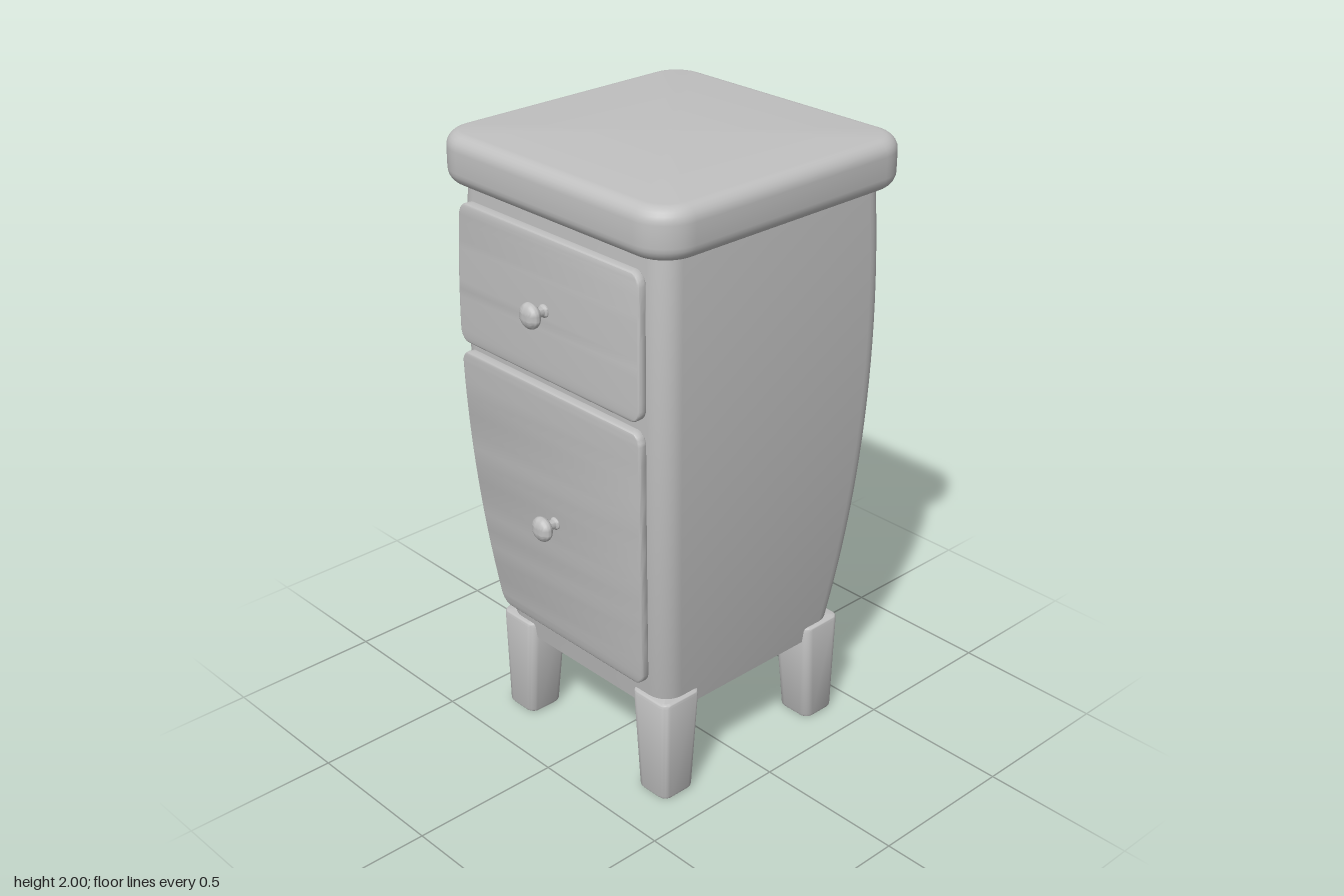
import * as THREE from 'three';
import { toCreasedNormals } from 'three/addons/utils/BufferGeometryUtils.js';

const CZ = -0.0355; // cabinet centre in z (knobs stick out in front)

// Half width of the bulging body at height y
const bulge = (y) => 0.454 - 0.068 * (y - 1.43) ** 2;

// Skins rounded-rectangle sections { y, x, z, hx, hz, r } stacked upwards, with end caps
function loft(sections, seg = 6) {
  const pos = [], idx = [], n = 4 * (seg + 1);
  for (const { y, x = 0, z = 0, hx, hz, r } of sections) {
    for (let q = 0; q < 4; q++) {
      const sx = q === 0 || q === 3 ? 1 : -1, sz = q < 2 ? 1 : -1;
      for (let k = 0; k <= seg; k++) {
        const a = (q + k / seg) * Math.PI / 2;
        pos.push(x + sx * (hx - r) + r * Math.cos(a), y, z + sz * (hz - r) + r * Math.sin(a));
      }
    }
  }
  const rows = sections.length, first = sections[0], last = sections[rows - 1];
  for (let j = 0; j < rows - 1; j++) {
    for (let i = 0; i < n; i++) {
      const a = j * n + i, b = j * n + (i + 1) % n;
      idx.push(a, a + n, b, a + n, b + n, b);
    }
  }
  pos.push(first.x || 0, first.y, first.z || 0, last.x || 0, last.y, last.z || 0);
  const c0 = rows * n, top = (rows - 1) * n;
  for (let i = 0; i < n; i++) {
    const k = (i + 1) % n;
    idx.push(c0, i, k, c0 + 1, top + k, top + i);
  }
  const g = new THREE.BufferGeometry();
  g.setAttribute('position', new THREE.Float32BufferAttribute(pos, 3));
  g.setIndex(idx);
  return toCreasedNormals(g, 0.6);
}

// Inset at distance t from an end rounded with radius r
const roundInset = (t, r) => (t >= r ? 0 : r - Math.sqrt(r * r - (r - t) ** 2));

// Heights from y0 to y1, dense in the rounded ends
function heights(y0, y1, r, mid) {
  const ends = [0, 1, 2, 3, 4, 5, 6].map((i) => r * (1 - Math.cos(i / 6 * Math.PI / 2)));
  const inner = [];
  for (let i = 1; i < mid; i++) inner.push(THREE.MathUtils.lerp(y0 + r, y1 - r, i / mid));
  return [...ends.map((t) => y0 + t), ...inner, ...ends.map((t) => y1 - t).reverse()];
}

export function createModel() {
  const group = new THREE.Group();
  const grey = new THREE.MeshStandardMaterial({ color: 0xc0c0c0 });
  grey.name = 'plain grey';
  const add = (name, geometry) => {
    const mesh = new THREE.Mesh(geometry, grey);
    mesh.name = name;
    group.add(mesh);
    return mesh;
  };

  // Bulging body
  const body = [];
  for (let i = 0; i <= 24; i++) {
    const y = 0.312 + (1.86 - 0.312) * i / 24, h = bulge(y);
    body.push({ y, z: CZ, hx: h, hz: h, r: 0.07 });
  }
  add('body', loft(body, 8));

  // Table top with a rounded edge
  add('tableTop', loft(heights(1.845, 2, 0.045, 2).map((y) => {
    const d = roundInset(Math.min(y - 1.845, 2 - y), 0.045);
    return { y, z: CZ, hx: 0.498 - d, hz: 0.498 - d, r: 0.12 - d };
  }), 10));

  // Tapered legs at the four corners
  for (const sx of [1, -1]) {
    for (const sz of [1, -1]) {
      const leg = heights(0.005, 0.365, 0.012, 1).map((y) => {
        const f = (y - 0.005) / 0.36;
        const d = roundInset(Math.min(y - 0.005, 0.365 - y), 0.012);
        const outer = 0.386 + 0.006 * f, inner = 0.257 - 0.023 * f;
        const c = (outer + inner) / 2, h = (outer - inner) / 2 - d;
        return { y, x: sx * c, z: CZ + sz * c, hx: h, hz: h, r: 0.03 - d };
      });
      add((sz > 0 ? 'front' : 'back') + (sx > 0 ? 'Left' : 'Right') + 'Leg', loft(leg));
    }
  }

  // Curved fronts following the body, held slightly off it
  const panel = (name, y0, y1) => add(name, loft(heights(y0, y1, 0.04, 14).map((y) => {
    const t = Math.min(y - y0, y1 - y), d = roundInset(t, 0.007);
    return {
      y, z: CZ + bulge(y) + 0.027,
      hx: bulge(y) - 0.055 - roundInset(t, 0.04), hz: 0.015 - d, r: 0.008 - d,
    };
  }), 4));
  panel('drawerFront', 1.36, 1.805);
  panel('doorFront', 0.43, 1.33);

  // Turned knobs
  const profile = [[0, -0.006], [0.02, -0.006], [0.02, 0.004], [0.015, 0.01], [0.014, 0.028]]
    .map(([r, h]) => new THREE.Vector2(r, h));
  for (let i = 0; i <= 14; i++) {
    const a = -1.2 + (Math.PI / 2 + 1.2) * i / 14;
    profile.push(new THREE.Vector2(Math.max(0, 0.04 * Math.cos(a)), 0.052 + 0.024 * Math.sin(a)));
  }
  const knobGeometry = toCreasedNormals(new THREE.LatheGeometry(profile, 28), 0.6);
  for (const [name, y] of [['drawerKnob', 1.58], ['doorKnob', 0.88]]) {
    const knob = add(name, knobGeometry);
    knob.rotation.x = Math.PI / 2;
    knob.position.set(0, y, CZ + bulge(y) + 0.042);
  }
  return group;
}
